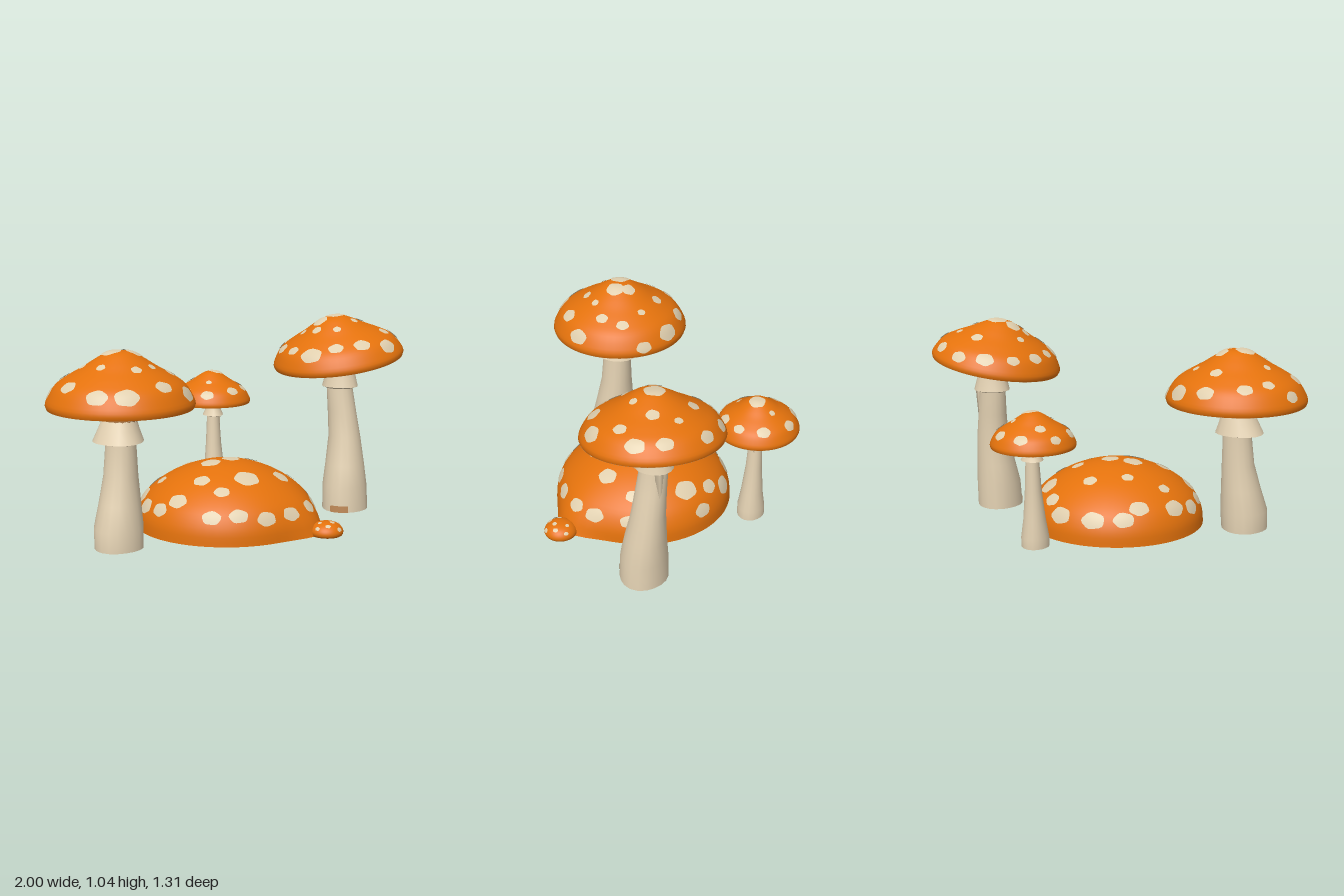
import * as THREE from 'three';
import { mergeVertices, toCreasedNormals } from 'three/addons/utils/BufferGeometryUtils.js';
import { ParametricGeometry } from 'three/addons/geometries/ParametricGeometry.js';

const TAU = Math.PI * 2;

function paint(name, color) {
  const m = new THREE.MeshStandardMaterial({ color, side: THREE.DoubleSide });
  m.name = name;
  return m;
}

function add(parent, name, geometry, material) {
  const m = new THREE.Mesh(geometry, material);
  m.name = name;
  parent.add(m);
  return m;
}

// Welded smooth grid: u runs round, v runs from the top or centre outward
function grid(f, nu, nv) {
  const g = new ParametricGeometry((u, v, t) => f((u % 1) * TAU, v, t), nu, nv);
  g.deleteAttribute('uv');
  g.deleteAttribute('normal');
  const w = mergeVertices(g, 1e-5);
  w.computeVertexNormals();
  return w;
}

// Half profiles [radius, height], both scaled to 1
const CAP = [[0, 1], [0.16, 0.98], [0.33, 0.86], [0.5, 0.715], [0.69, 0.57], [0.86, 0.41], [0.96, 0.21], [1, 0.07], [0.98, 0]];
const DOME = [[0, 1], [0.22, 0.97], [0.47, 0.865], [0.65, 0.745], [0.815, 0.58], [0.915, 0.43], [0.985, 0.21], [1, 0]];
const BABY = [[0, 1], [0.35, 0.96], [0.7, 0.8], [0.92, 0.54], [1, 0.25], [0.9, 0], [0.4, 0], [0.02, 0]];

// Spots as [x, z, radius] in hundredths, seen from above and measured from the cap centre
const SPOTS = {
  left: [[-4, -1, 5], [7, -4, 3.5], [6, 3, 4.5], [-14, 7, 2.2], [-16, -7, 2], [7, -19, 3], [10, -30, 4], [-9, -28, 3.5],
    [-19, -20, 3], [-29, 3, 4], [-13, 29, 5], [7, 28, 4], [20, 12, 3], [25, -22, 5], [26, 2, 3], [19, -9, 2], [-1, 17, 2.5],
    [-24, 21, 4.5], [22, 25, 4.5], [-30, -15, 3.5], [34, -8, 3.5], [9, 14, 2]],
  right: [[-7, -2, 4], [2, -1, 5], [-14, -8, 2], [-13, 2, 2.5], [-7, 11, 2], [6, 9, 2], [16, 2, 3], [19, -9, 2], [6, -18, 3],
    [-4, -30, 4], [10, -30, 3.5], [23, -21, 3.5], [30, -1, 3.5], [28, 12, 4], [18, 17, 3], [10, 29, 4.5], [-4, 26, 4],
    [-16, 20, 3.5], [-27, -1, 3], [-26, 12, 5], [-25, -13, 3.5], [-17, -24, 3]],
  small: [[2, 1, 4], [-7, -10, 2.5], [0, -18, 3], [12, -13, 3], [17, 1, 3], [12, 12, 2.5], [2, 17, 3], [-12, 14, 3],
    [-18, 2, 3], [-15, -11, 2.5], [8, -5, 1.5], [-7, 8, 1.5]],
  dome: [[0, -43, 5], [-21, -33, 4.5], [-29, -14, 3], [-36, -20, 5], [-11, -18, 3], [7, -24, 3.5], [31, -17, 5.5], [25, -30, 4],
    [19, -5, 3.5], [-9, 0, 5], [3, 0, 4.5], [-22, 12, 4], [-3, 23, 6], [-19, 25, 3.5], [19, 21, 4.5], [33, 10, 3.5],
    [-36, 12, 4.5], [-29, 31, 4], [-18, 38, 4], [-5, 43, 4.2], [9.5, 42, 4], [23, 36, 3.5], [32, 29, 4], [41, 14, 3.5],
    [36, -25, 4], [-15, -40, 4.5], [18, -39, 5], [-42, -8, 4.5], [-42, 5, 4]],
  baby: [[-4, 0, 1], [3, -3, 1], [1, 3, 1.2], [5, 3, 1.2], [-3, 5, 1.2], [-7, 2, 1.1], [2, 7.4, 1.2], [7, -2, 1]],
};

export function createModel() {
  const orange = paint('cap orange', 0xe4720c);
  const cream = paint('spot cream', 0xe0cfae);
  const ivory = paint('stem ivory', 0xe4d2b3);
  const brown = paint('gill brown', 0xa67d53);
  const tan = paint('neck tan', 0xc08a58);
  const model = new THREE.Group();
  model.name = 'mushroomCluster';

  // Round cap with spots that follow its curve; the base is 'gills', 'hollow' or 'closed'
  function cap(name, profile, R, H, spots, base, bulge = () => 0) {
    const group = new THREE.Group();
    group.name = name;
    const curve = new THREE.CatmullRomCurve3(profile.map(([r, y]) => new THREE.Vector3(r * R, y * H, 0)));
    const length = curve.getLength();
    const table = curve.getSpacedPoints(200);
    const at = (angle, s, lift, out) => {
      const k = THREE.MathUtils.clamp(s / length, 0, 1);
      const p = curve.getPointAt(k), t = curve.getTangentAt(k);
      const r = (p.x - t.y * lift) * (1 + bulge(angle, k));
      return out.set(r * Math.cos(angle), p.y + t.x * lift, r * Math.sin(angle));
    };
    add(group, 'capSkin', grid((a, v, t) => at(a, v * length, 0, t), 56, 28), orange);

    // Spots widen round the cap toward the rim
    const addSpots = (lift) => spots.forEach(([px, pz, pr], i) => {
      const x = px / 100, z = pz / 100, size = pr / 100;
      const plan = Math.min(Math.hypot(x, z), R * 0.97);
      const k = Math.max(table.findIndex((p) => p.x >= plan), 1);
      const s = k / 200 * length, stretch = s / table[k].x, angle = Math.atan2(z, x);
      const wide = 1 + 0.2 * (plan / R) ** 2;
      const f = (a, v, t) => {
        const rho = v * size * (1 + 0.05 * Math.sin(5 * a + i));
        const m = s + rho * Math.cos(a) / wide, b = rho * Math.sin(a) * stretch * wide;
        return at(angle + Math.atan2(b, m), Math.hypot(m, b), lift, t);
      };
      add(group, 'spot', grid(f, 20, 4), cream);
    });
    addSpots(0.004);
    if (base === 'hollow') addSpots(-0.004);
    if (base === 'gills') {
      const pts = [[0.1, 0.02], [0.6, 0.012], [0.985, 0]].map(([r, y]) => new THREE.Vector2(r * R, y));
      add(group, 'gills', new THREE.LatheGeometry(pts, 48), brown);
    }
    model.add(group);
    return group;
  }

  // Loft through rows of [x, y, z, radius], listed from the top down
  function loft(rows, sides, wobble) {
    return grid((a, v, t) => {
      const [x, y, z, r] = rows[Math.round(v * (rows.length - 1))];
      const w = r * (1 + wobble * Math.sin(3 * a + y * 5));
      return t.set(x + w * Math.cos(a), y, z + w * Math.sin(a));
    }, sides, rows.length - 1);
  }

  // Stem with an open foot
  function stem(name, neck, skirt, shaft) {
    const group = new THREE.Group();
    group.name = name;
    add(group, 'neck', loft(neck, 16, 0.03), tan);
    add(group, 'skirt', toCreasedNormals(loft(skirt, 18, 0.04), 0.9), ivory);
    add(group, 'shaft', loft(shaft, 18, 0.04), ivory);
    model.add(group);
    return group;
  }

  // Left mushroom
  cap('leftCap', CAP, 0.36, 0.272, SPOTS.left, 'gills').position.set(-0.64, 0.68, 0.13);
  stem('leftStem',
    [[-0.645, 0.7, 0.135, 0.115], [-0.648, 0.66, 0.14, 0.092], [-0.65, 0.6, 0.14, 0.082]],
    [[-0.65, 0.625, 0.14, 0.084], [-0.655, 0.58, 0.142, 0.1], [-0.66, 0.52, 0.145, 0.124], [-0.652, 0.508, 0.145, 0.078]],
    [[-0.648, 0.62, 0.14, 0.072], [-0.648, 0.5, 0.145, 0.075], [-0.655, 0.35, 0.15, 0.084], [-0.67, 0.22, 0.16, 0.102],
      [-0.685, 0.1, 0.168, 0.121], [-0.687, 0.003, 0.17, 0.119]]);

  // Right mushroom with a tilted cap
  const tilted = cap('rightCap', CAP, 0.343, 0.237, SPOTS.right, 'gills');
  tilted.position.set(0.665, 0.803, 0.155);
  tilted.rotation.z = 0.17;
  const rightStem = stem('rightStem',
    [[0.68, 0.84, 0.15, 0.1], [0.685, 0.805, 0.15, 0.075], [0.685, 0.77, 0.15, 0.066]],
    [[0.685, 0.79, 0.15, 0.068], [0.685, 0.75, 0.15, 0.073], [0.685, 0.664, 0.15, 0.094], [0.682, 0.655, 0.15, 0.07]],
    [[0.683, 0.78, 0.148, 0.064], [0.682, 0.66, 0.15, 0.068], [0.69, 0.53, 0.165, 0.075], [0.697, 0.4, 0.18, 0.084],
      [0.688, 0.25, 0.195, 0.103], [0.68, 0.14, 0.203, 0.117], [0.678, 0.01, 0.207, 0.12]]);

  // Earthy stain on the foot of the right stem
  add(rightStem, 'footStain', new THREE.CylinderGeometry(0.124, 0.125, 0.035, 8, 1, true, -1.3, 0.8), tan)
    .position.set(0.678, 0.028, 0.207);

  // Small mushroom
  cap('smallCap', CAP, 0.212, 0.171, SPOTS.small, 'gills').position.set(0.255, 0.53, -0.44);
  const smallStem = stem('smallStem',
    [[0.258, 0.54, -0.44, 0.05], [0.26, 0.52, -0.438, 0.036], [0.262, 0.49, -0.436, 0.033]],
    [[0.262, 0.512, -0.436, 0.036], [0.262, 0.49, -0.435, 0.042], [0.262, 0.458, -0.435, 0.056], [0.262, 0.452, -0.435, 0.034]],
    [[0.262, 0.5, -0.435, 0.031], [0.262, 0.45, -0.434, 0.034], [0.261, 0.3, -0.43, 0.042], [0.26, 0.15, -0.424, 0.056],
      [0.26, 0.06, -0.421, 0.07], [0.26, 0.01, -0.42, 0.07]]);

  // Torn veil strips hanging from the skirts
  [[rightStem, 0.755, 0.53, 0.14, 0.022, 0.26], [smallStem, 0.29, 0.4, -0.42, 0.011, 0.14]].forEach(([g, x, y, z, r, h]) => {
    const strip = add(g, 'veilStrip', new THREE.ConeGeometry(r, h, 4), ivory);
    strip.position.set(x, y, z);
    strip.rotation.x = Math.PI;
  });

  // Wide hollow dome, drawn out at the rim toward the baby cap
  const bulge = (angle, k) => {
    const d = Math.atan2(Math.sin(angle - 1.02), Math.cos(angle - 1.02));
    return 0.15 * Math.exp(-((d / 0.3) ** 2)) * k ** 4;
  };
  cap('domeCap', DOME, 0.46, 0.33, SPOTS.dome, 'hollow', bulge).position.set(-0.015, 0.01, 0.1);
  cap('babyCap', BABY, 0.084, 0.068, SPOTS.baby, 'closed').position.set(0.273, 0.01, 0.571);

  return model;
}
